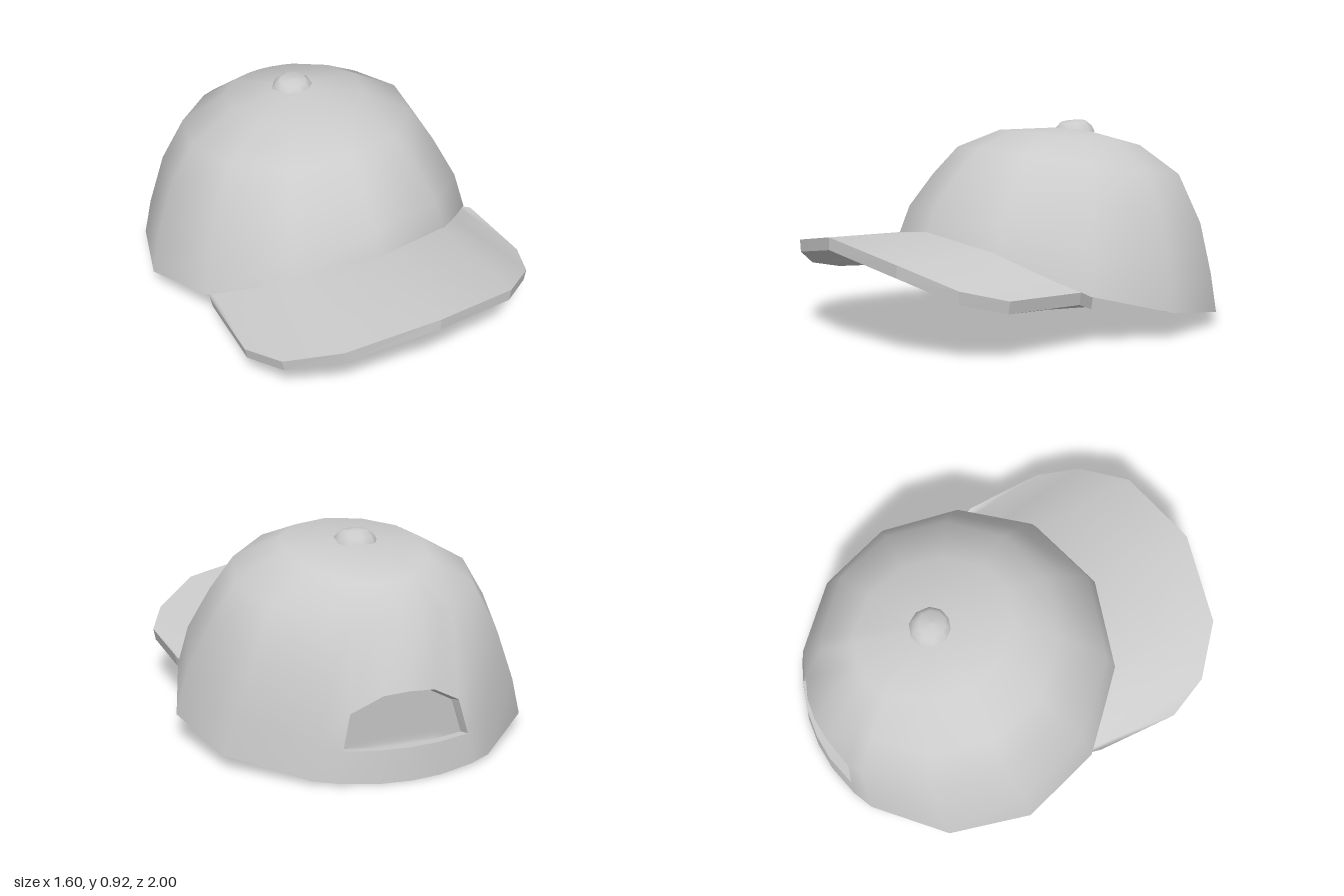
import * as THREE from 'three';

const material = new THREE.MeshStandardMaterial({ color: 0xcccccc, side: THREE.DoubleSide });
const rad = THREE.MathUtils.degToRad;
const lerp = THREE.MathUtils.lerp;

// Smooth surface from a grid of points[row][col]; skip(row, col) leaves out a quad
function surface(points, { closed = false, flip = false, skip = () => false } = {}) {
  const rows = points.length, cols = points[0].length, index = [];
  for (let r = 0; r < rows - 1; r++) {
    for (let c = 0; c < (closed ? cols : cols - 1); c++) {
      if (skip(r, c)) continue;
      const n = (c + 1) % cols;
      const [a, b, d, e] = [r * cols + c, r * cols + n, (r + 1) * cols + n, (r + 1) * cols + c];
      index.push(...(flip ? [a, d, b, a, e, d] : [a, b, d, a, d, e]));
    }
  }
  const geometry = new THREE.BufferGeometry().setFromPoints(points.flat());
  geometry.setIndex(index);
  geometry.computeVertexNormals();
  return geometry;
}

// Hard-edged band joining two matching lines of points
function band(lineA, lineB, closed) {
  const geometry = surface([lineA, lineB], { closed }).toNonIndexed();
  geometry.computeVertexNormals();
  return geometry;
}

function add(group, name, geometry) {
  const mesh = new THREE.Mesh(geometry, material);
  mesh.name = name;
  group.add(mesh);
  return mesh;
}

// Rings from the rim up: half width, side y, front z, front y, back z, back y
const RINGS = [
  [0.80, 0.13, 0.50, 0.45, -1.00, 0.005],
  [0.75, 0.33, 0.45, 0.57, -0.99, 0.15],
  [0.65, 0.55, 0.34, 0.70, -0.965, 0.39],
  [0.54, 0.73, 0.22, 0.815, -0.85, 0.645],
  [0.32, 0.855, 0.03, 0.885, -0.70, 0.77],
  [0.0, 0.89, -0.34, 0.89, -0.34, 0.89],
];
const ANGLES = [0, 30, 60, 90, 120, 150, 158, 170, 180, 190, 202, 210, 240, 270, 300, 330];
const OPEN_FROM = 6, OPEN_TO = 10;

function crownPoint(row, angle) {
  const [halfWidth, sideY, frontZ, frontY, backZ, backY] = RINGS[row];
  const c = Math.cos(rad(angle));
  // the rim sweeps up steeply at the front, higher rings are flatter
  const rise = c > 0 ? lerp(c * c * (1.5 - 0.5 * c), c, row / 5) : -c;
  let y = lerp(sideY, c > 0 ? frontY : backY, rise);
  const off = Math.abs(angle - 180);
  if (row === 1 && off < 25) y = 0.15;
  // arched top of the back opening
  if (row === 2 && off < 25) y = off > 15 ? 0.30 : off > 5 ? 0.375 : 0.385;
  const z = (frontZ + backZ) / 2 + c * (frontZ - backZ) / 2;
  return new THREE.Vector3(halfWidth * Math.sin(rad(angle)), y, z);
}

function buildCrown() {
  const crown = new THREE.Group();
  crown.name = 'crown';
  const outer = RINGS.map((_, r) => ANGLES.map((a) => crownPoint(r, a)));

  // inner wall: the outer one pushed inwards along its normals
  const normals = surface(outer, { closed: true }).getAttribute('normal');
  const inner = outer.map((ring, r) => ring.map((p, c) => {
    const n = new THREE.Vector3().fromBufferAttribute(normals, r * ANGLES.length + c);
    if (r === RINGS.length - 1) n.set(0, 1, 0);
    if (r === 0) n.setY(0).normalize();
    return p.clone().addScaledVector(n, -0.045);
  }));

  const skip = (r, c) => r === 1 && c >= OPEN_FROM && c < OPEN_TO;
  const shell = surface(outer, { closed: true, skip });
  const lining = surface(inner, { closed: true, skip, flip: true });
  // one shared normal at the crown's peak
  for (let c = 0; c < ANGLES.length; c++) {
    const i = (RINGS.length - 1) * ANGLES.length + c;
    shell.getAttribute('normal').setXYZ(i, 0, 1, 0);
    lining.getAttribute('normal').setXYZ(i, 0, -1, 0);
  }
  add(crown, 'crownShell', shell);
  add(crown, 'crownLining', lining);
  add(crown, 'crownRim', band(inner[0], outer[0], true));

  // edge of the back opening
  const loop = (wall) => [
    ...wall[1].slice(OPEN_FROM, OPEN_TO + 1),
    ...wall[2].slice(OPEN_FROM, OPEN_TO + 1).reverse(),
  ];
  add(crown, 'openingEdge', band(loop(outer), loop(inner), true));
  return crown;
}

function buildBrim() {
  const brim = new THREE.Group();
  brim.name = 'brim';
  const mirrored = (half) => [
    ...half.slice(1).reverse().map(([x, y, z]) => new THREE.Vector3(-x, y, z)),
    ...half.map((p) => new THREE.Vector3(...p)),
  ];
  const inside = mirrored([
    [0, 0.455, 0.465], [0.385, 0.40, 0.375], [0.53, 0.315, 0.24], [0.655, 0.24, 0.12], [0.665, 0.22, 0.09],
  ]);
  const outside = mirrored([
    [0, 0.48, 0.995], [0.415, 0.41, 0.915], [0.62, 0.315, 0.75], [0.705, 0.265, 0.56], [0.695, 0.255, 0.18],
  ]);
  const top = [0, 0.5, 1].map((t) => inside.map((p, i) => p.clone().lerp(outside[i], t)));
  const under = top.map((line) => line.map((p) => new THREE.Vector3(p.x * 0.985, p.y - 0.055, p.z)));
  add(brim, 'brimTop', surface(top, { flip: true }));
  add(brim, 'brimUnderside', surface(under));
  add(brim, 'brimOuterEdge', band(under[2], top[2], false));
  add(brim, 'brimInnerEdge', band(top[0], under[0], false));
  const last = inside.length - 1;
  for (const i of [0, last]) {
    const ends = [top.map((l) => l[i]), under.map((l) => l[i])];
    add(brim, 'brimEnd', i ? band(ends[0], ends[1], false) : band(ends[1], ends[0], false));
  }
  return brim;
}

export function createModel() {
  const cap = new THREE.Group();
  cap.name = 'cap';
  cap.add(buildCrown(), buildBrim());

  // button on the peak, leaning slightly back
  const profile = [[0.1, -0.02], [0.088, 0.01], [0.06, 0.036], [0, 0.042]];
  const button = add(cap, 'topButton',
    new THREE.LatheGeometry(profile.map(([x, y]) => new THREE.Vector2(x, y)), 10));
  button.position.set(0, 0.88, -0.34);
  button.rotation.x = 0.1;
  return cap;
}
